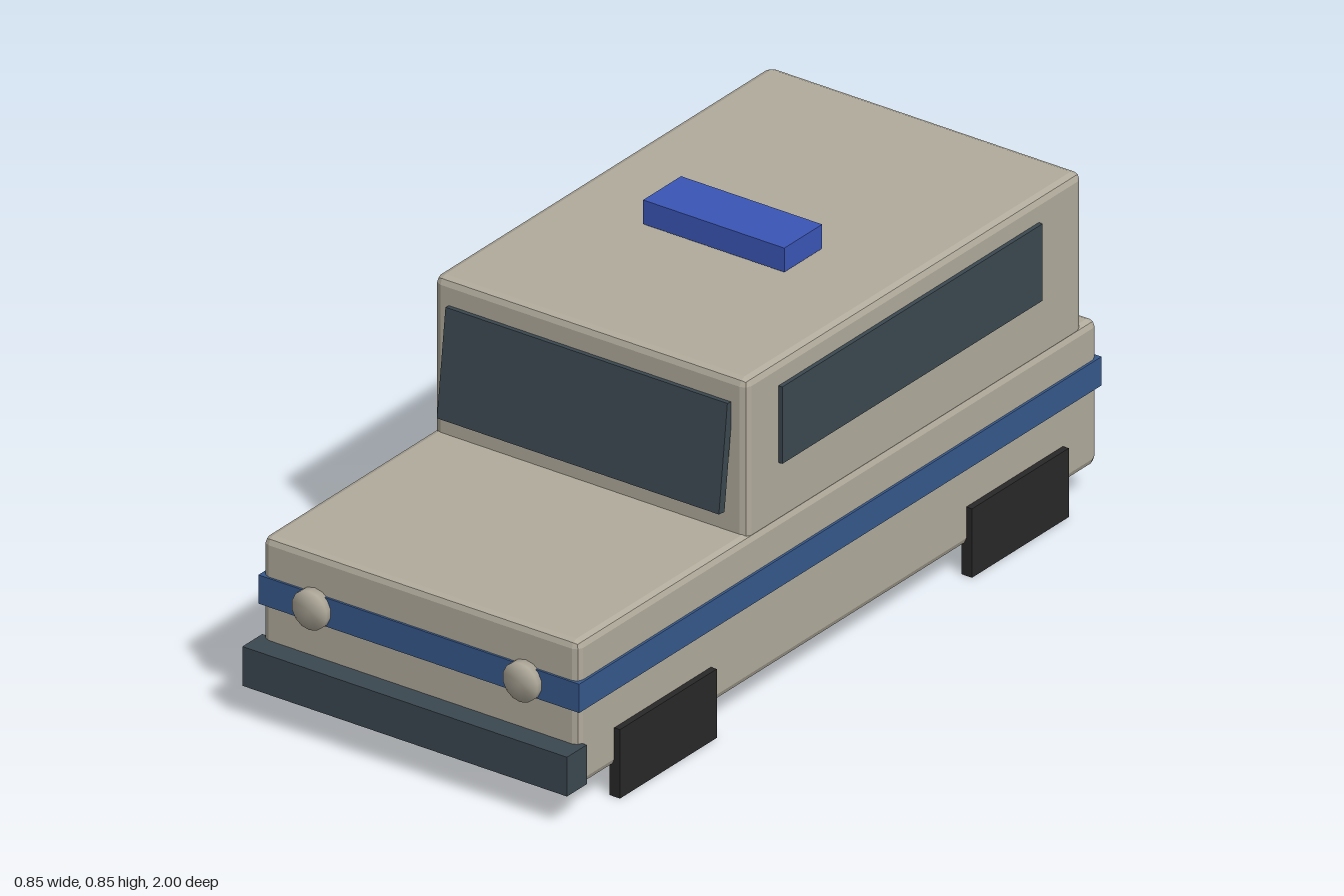
import * as THREE from 'three';
import { RoundedBoxGeometry } from 'three/addons/geometries/RoundedBoxGeometry.js';
import { mergeVertices } from 'three/addons/utils/BufferGeometryUtils.js';

function paint(name, color) {
  const m = new THREE.MeshStandardMaterial({ color });
  m.name = name;
  return m;
}

export function createModel() {
  const model = new THREE.Group();
  model.name = 'offRoader';
  const beige = paint('beigePaint', 0xb1ab9c);
  const blue = paint('stripeBlue', 0x36588c);
  const slate = paint('slateGlass', 0x3b4850);
  const rubber = paint('blackRubber', 0x282828);
  const beacon = paint('beaconBlue', 0x3a55b5);

  function add(name, geometry, material) {
    const mesh = new THREE.Mesh(geometry, material);
    mesh.name = name;
    model.add(mesh);
    return mesh;
  }
  // Plain box given by its minimum and maximum corners
  function box(name, material, [x0, y0, z0], [x1, y1, z1]) {
    const g = new THREE.BoxGeometry(x1 - x0, y1 - y0, z1 - z0);
    g.translate((x0 + x1) / 2, (y0 + y1) / 2, (z0 + z1) / 2);
    return add(name, g, material);
  }
  // Box with a single flat chamfer on every edge
  function chamferBox(name, material, [x0, y0, z0], [x1, y1, z1], c) {
    const g = new RoundedBoxGeometry(x1 - x0, y1 - y0, z1 - z0, 1, c);
    g.computeVertexNormals();
    g.translate((x0 + x1) / 2, (y0 + y1) / 2, (z0 + z1) / 2);
    return add(name, g, material);
  }
  // Disc facing along z, with normals shared between rim and caps
  function softDisc(name, material, x, y, z0, z1, r) {
    let g = new THREE.CylinderGeometry(r, r, z1 - z0, 14);
    g.deleteAttribute('normal');
    g.deleteAttribute('uv');
    g = mergeVertices(g, 1e-4);
    g.computeVertexNormals();
    g.rotateX(Math.PI / 2);
    g.translate(x, y, (z0 + z1) / 2);
    return add(name, g, material);
  }

  // Body shells
  chamferBox('lowerBody', beige, [-0.412, 0.072, -0.89], [0.412, 0.415, 0.945], 0.017);
  chamferBox('cabin', beige, [-0.408, 0.395, -0.843], [0.408, 0.782, 0.345], 0.018);

  // Stripe all round, front bumper, roof light
  box('stripe', blue, [-0.418, 0.255, -0.896], [0.418, 0.323, 0.95]);
  box('frontBumper', slate, [-0.423, 0.08, 0.93], [0.423, 0.173, 1.0]);
  box('roofLight', beacon, [-0.184, 0.788, -0.226], [0.184, 0.845, -0.092]);

  // Windscreen leaning back
  const screen = add('windscreen', new THREE.BoxGeometry(0.735, 0.252, 0.02), slate);
  screen.position.set(0, 0.597, 0.363);
  screen.rotation.x = -0.12;

  // Mirrored side parts
  for (const [side, s] of [['left', 1], ['right', -1]]) {
    const span = (a, b) => (s > 0 ? [a, b] : [-b, -a]);
    const [w0, w1] = span(0.404, 0.418);
    box(side + 'SideWindow', slate, [w0, 0.543, -0.688], [w1, 0.725, 0.232]);

    const [t0, t1] = span(0.4, 0.427);
    for (const [end, z] of [['Front', 0.647], ['Rear', -0.597]]) {
      box(side + end + 'Wheel', rubber, [t0, 0, z - 0.171], [t1, 0.163, z + 0.171]);
    }
    softDisc(side + 'Headlight', beige, s * 0.275, 0.289, 0.93, 0.965, 0.046);
  }

  // Spare wheel on the back
  softDisc('spareWheel', rubber, 0, 0.405, -1.0, -0.89, 0.147);

  return model;
}
